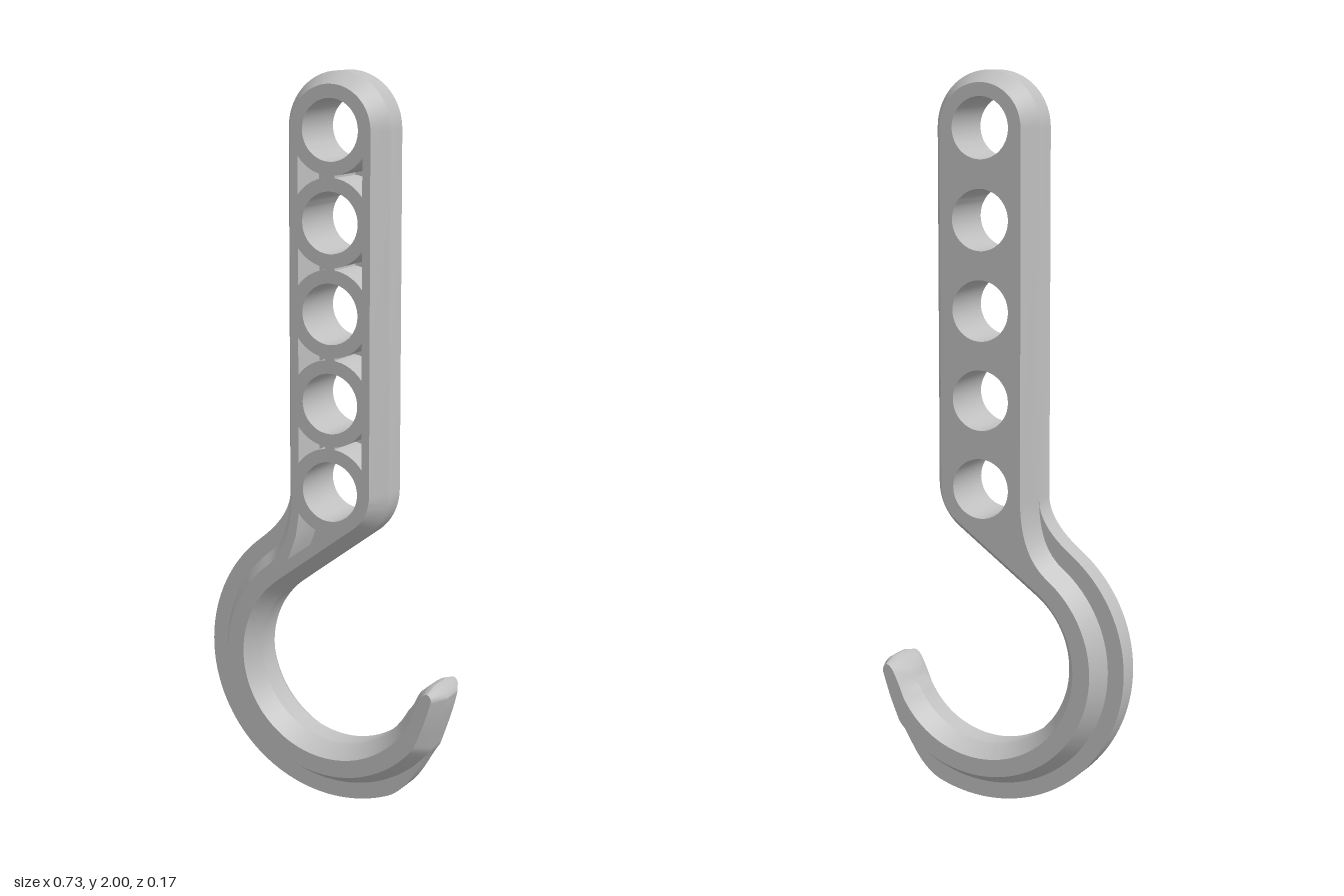
import * as THREE from 'three';
import { toCreasedNormals } from 'three/addons/utils/BufferGeometryUtils.js';

const CX = 0.035;        // shared centre line of bar and hook
const HOOK_Y = 0.4;      // centre of the hook arc
const LOW_Y = 0.887;     // centre of the lowest hole
const STEP = 0.2408;     // hole spacing
const TOP_Y = LOW_Y + 4 * STEP;
const FACE_Z = 0.087, RIM_Z = 0.034, POCKET_Z = -0.033;
const rad = THREE.MathUtils.degToRad;
const V = (x, y) => new THREE.Vector2(x, y);

// Points on an arc; r may be a number or a function of the angle in degrees
function arc(cy, r, a0, a1, n) {
  return Array.from({ length: n + 1 }, (_, i) => {
    const a = a0 + (a1 - a0) * i / n;
    const k = typeof r === 'function' ? r(a) : r;
    return V(CX + k * Math.cos(rad(a)), cy + k * Math.sin(rad(a)));
  });
}

// Counter-clockwise outline, inset by d, with its own outer hook radius and tip
function outline(d, hookRadius, tip) {
  const outer = arc(HOOK_Y, hookRadius, 128, 322, 72);
  const inner = arc(HOOK_Y, 0.241 + d, 332, 126.6, 72);
  const left = CX - 0.15 + d;
  const p = outer[0];
  const bend = V(left, p.y + (left - p.x) / Math.tan(rad(128)) * -1);
  const neck = new THREE.QuadraticBezierCurve(V(left, 0.86), bend, p).getPoints(12);
  const tipCurve = new THREE.SplineCurve([outer.at(-1), ...tip.map(q => V(...q)), inner[0]]).getPoints(35);
  return [
    ...arc(LOW_Y, 0.15 - d, -53.4, 0, 12),
    ...arc(TOP_Y, 0.15 - d, 0, 180, 36),
    ...neck, ...outer.slice(1), ...tipCurve.slice(1), ...inner.slice(1),
  ];
}

// Walls joining successive [loop, z] rings of equal length
function walls(rings) {
  const pos = [];
  const tri = (a, b, c) => {
    const area = b.clone().sub(a).cross(c.clone().sub(a)).length();
    if (area > 1e-9) for (const v of [a, b, c]) pos.push(v.x, v.y, v.z);
  };
  for (let k = 0; k + 1 < rings.length; k++) {
    const [f, fz] = rings[k], [g, gz] = rings[k + 1];
    for (let i = 0; i < f.length; i++) {
      const j = (i + 1) % f.length;
      const at = (q, z) => new THREE.Vector3(q.x, q.y, z);
      tri(at(f[i], fz), at(g[i], gz), at(g[j], gz));
      tri(at(f[i], fz), at(g[j], gz), at(f[j], fz));
    }
  }
  const geo = new THREE.BufferGeometry();
  geo.setAttribute('position', new THREE.Float32BufferAttribute(pos, 3));
  return toCreasedNormals(geo, 0.42);
}

// Flat cap at height z, optionally facing backwards
function cap(loop, holes, z, back = false) {
  const shape = new THREE.Shape(loop);
  shape.holes = holes.map(h => new THREE.Path(h));
  const geo = new THREE.ShapeGeometry(shape);
  geo.translate(0, 0, z);
  if (back) {
    const ix = geo.index.array;
    for (let i = 0; i < ix.length; i += 3) [ix[i], ix[i + 1]] = [ix[i + 1], ix[i]];
    geo.computeVertexNormals();
  }
  return geo;
}

export function createModel() {
  const group = new THREE.Group();
  const grey = new THREE.MeshStandardMaterial({ color: 0xbfbfbf });
  grey.name = 'light grey';
  const add = (name, geo) => {
    const mesh = new THREE.Mesh(geo, grey);
    mesh.name = name;
    group.add(mesh);
  };

  // Outlines: flat face, foot of the chamfer, and outer flange fading out near the tip
  const edgeTip = [[0.343, 0.265], [0.36, 0.325], [0.361, 0.35], [0.33, 0.375], [0.288, 0.35], [0.264, 0.308]];
  const faceTip = [[0.315, 0.265], [0.335, 0.325], [0.34, 0.348], [0.328, 0.362], [0.312, 0.35], [0.294, 0.315]];
  const face = outline(0.032, 0.322, faceTip);
  const edge = outline(0, 0.354, edgeTip);
  const flange = outline(0, a => 0.4 - 0.046 * THREE.MathUtils.smoothstep(a, 292, 322), edgeTip);

  // Round through holes
  const holes = [];
  for (let i = 0; i < 5; i++) holes.push(arc(LOW_Y + i * STEP, 0.082, 360, 0, 48).slice(1));

  // Triangular pockets between the holes, mirrored, plus one in the neck
  const pockets = [];
  for (let i = 0; i < 4; i++) {
    const y = LOW_Y + i * STEP;
    const right = [...arc(y + STEP, 0.118, -83.3, -36.4, 10), ...arc(y, 0.118, 36.4, 83.3, 10)];
    pockets.push(right, right.map(p => V(2 * CX - p.x, p.y)).reverse());
  }
  pockets.push([...arc(LOW_Y, 0.118, -143.6, -93, 10), V(-0.035, 0.727), V(-0.095, 0.682), V(-0.07, 0.75)]);

  add('hookSides', walls([
    [face, FACE_Z], [edge, RIM_Z], [flange, RIM_Z],
    [flange, -RIM_Z], [edge, -RIM_Z], [face, -FACE_Z],
  ]));
  add('frontFace', cap(face, [...holes, ...pockets], FACE_Z));
  add('backFace', cap(face, holes, -FACE_Z, true));
  holes.forEach(h => add('holeWall', walls([[h, FACE_Z], [h, -FACE_Z]])));
  pockets.forEach(p => {
    add('pocketWall', walls([[p, FACE_Z], [p, POCKET_Z]]));
    add('pocketFloor', cap(p, [], POCKET_Z));
  });
  return group;
}
